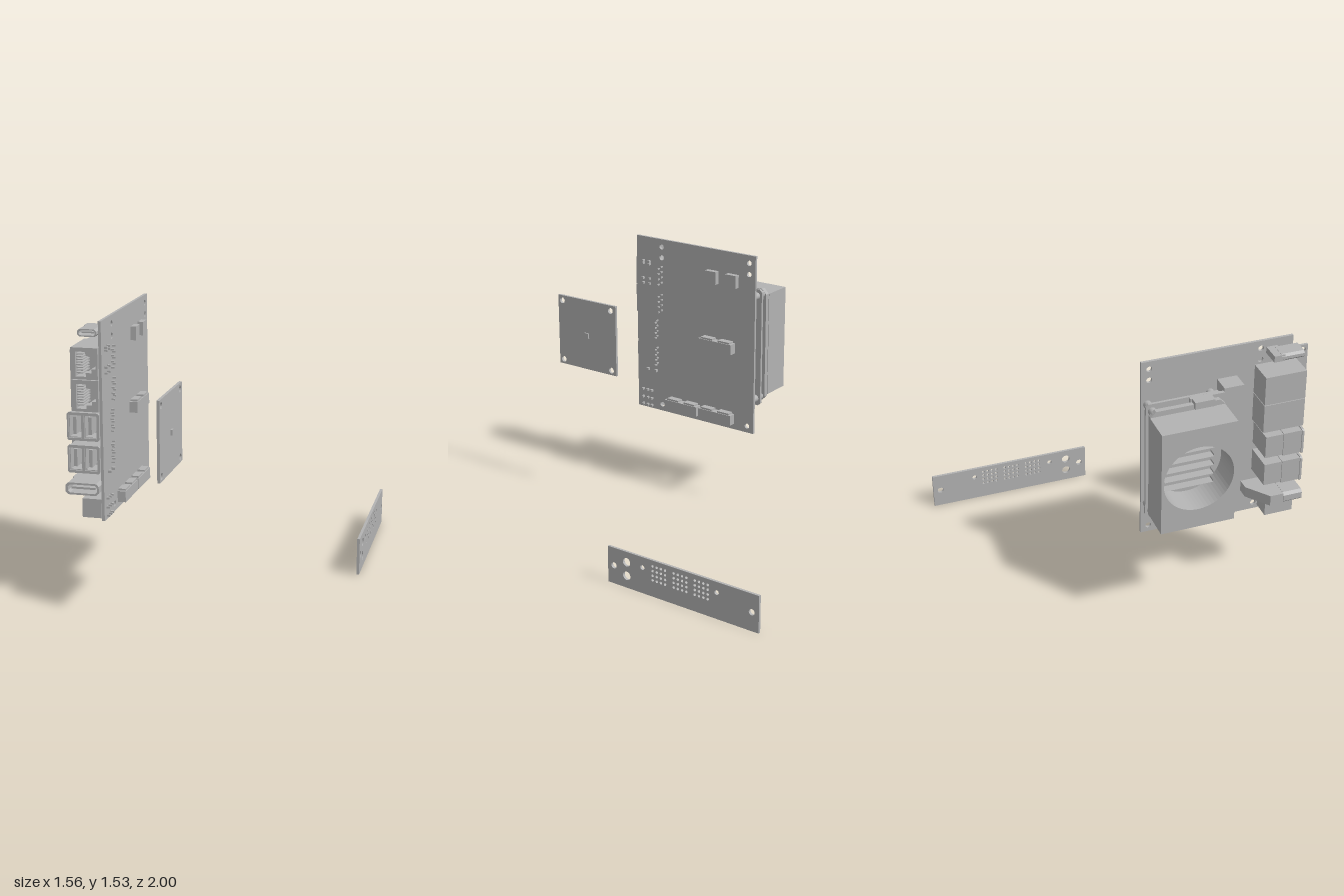
import * as THREE from 'three';

const grey = new THREE.MeshStandardMaterial({ color: 0xb3b3b3 });
grey.name = 'plain grey';

export function createModel() {
  const model = new THREE.Group();

  const add = (name, geometry, parent = model) => {
    const mesh = new THREE.Mesh(geometry, grey);
    mesh.name = name;
    parent.add(mesh);
    return mesh;
  };
  const group = (name) => {
    const g = new THREE.Group();
    g.name = name;
    model.add(g);
    return g;
  };
  // Box given by its limits on each axis
  const box = (name, x0, x1, y0, y1, z0, z1, parent) =>
    add(name, new THREE.BoxGeometry(x1 - x0, y1 - y0, z1 - z0)
      .translate((x0 + x1) / 2, (y0 + y1) / 2, (z0 + z1) / 2), parent);
  const poly = (pts, Type = THREE.Shape) => new Type(pts.map(p => new THREE.Vector2(...p)));
  const rect = (a0, a1, b0, b1, Type) => poly([[a0, b0], [a1, b0], [a1, b1], [a0, b1]], Type);
  // Rectangle with cut corners
  const cut = (a0, a1, b0, b1, c, Type) => poly([[a0 + c, b0], [a1 - c, b0], [a1, b0 + c], [a1, b1 - c],
    [a1 - c, b1], [a0 + c, b1], [a0, b1 - c], [a0, b0 + c]], Type);
  const hole = (a, b, r) => new THREE.Path().absarc(a, b, r, 0, Math.PI * 2, true);
  const extrude = (shape, depth, curveSegments = 8) =>
    new THREE.ExtrudeGeometry(shape, { depth, bevelEnabled: false, curveSegments });
  // Plate whose outline lies in z and y, filling x0 to x1
  const plateX = (name, shape, x0, x1, parent, seg) =>
    add(name, extrude(shape, x1 - x0, seg).rotateY(-Math.PI / 2).translate(x1, 0, 0), parent);
  // Shell whose outline lies in x and y, filling z0 to z1
  const shellZ = (name, shape, z0, z1, parent) =>
    add(name, extrude(shape, z1 - z0).translate(0, 0, z0), parent);
  const withHoles = (shape, holes) => { shape.holes.push(...holes); return shape; };

  // Main circuit board with mounting holes
  const mainHoles = [];
  for (const z of [0.53, -0.085])
    for (const y of [0.505, 1.42, 1.485]) mainHoles.push(hole(z, y, 0.016));
  plateX('mainBoard', withHoles(rect(-0.128, 0.711, 0.465, 1.53), mainHoles), -0.481, -0.466);

  // Small square board with its sensor
  const small = group('sensorBoard');
  const smallHoles = [];
  for (const z of [0.61, 0.97])
    for (const y of [0.814, 1.177]) smallHoles.push(hole(z, y, 0.018));
  plateX('sensorPlate', withHoles(rect(0.573, 1, 0.786, 1.208), smallHoles), -0.095, -0.08, small);
  box('sensorChip', -0.08, -0.07, 0.98, 1.01, 0.772, 0.802, small);

  // Perforated front strip
  const stripHoles = [[-0.08, 0.107, 0.018], [-0.165, 0.15, 0.025], [-0.165, 0.07, 0.025],
    [-0.27, 0.15, 0.014], [-0.743, 0.15, 0.014], [-0.957, 0.107, 0.018]].map(h => hole(...h));
  for (const start of [-0.337, -0.473, -0.607])
    for (let i = 0; i < 4; i++)
      for (let j = 0; j < 4; j++)
        stripHoles.push(hole(start - i * 0.027, 0.096 + j * 0.027, 0.008));
  plateX('perforatedStrip', withHoles(rect(-1, -0.04, 0, 0.21), stripHoles), 0.762, 0.777);

  // Fan housing with round bore and cooling fins at its base
  const cooler = group('cooler');
  plateX('fanHousing', withHoles(rect(-0.128, 0.282, 0.67, 1.28), [hole(0.077, 0.975, 0.193)]),
    -0.785, -0.612, cooler, 32);
  plateX('coolerBase', cut(-0.125, 0.285, 0.63, 1.31, 0.03), -0.612, -0.585, cooler);
  for (let i = 0; i < 6; i++) {
    const y = 0.84 + i * 0.054;
    box('coolingFin', -0.612, -0.58 - 0.08, y, y + 0.012, -0.06, 0.21, cooler).visible = true;
  }
  // Processor module, spacers and plug beneath the cooler
  plateX('moduleBoard', cut(-0.128, 0.285, 0.62, 1.32, 0.015), -0.55, -0.535, cooler);
  for (const y of [0.66, 1.28])
    for (const z of [-0.095, 0.25])
      add('spacer', new THREE.CylinderGeometry(0.022, 0.022, 0.12, 12).rotateZ(Math.PI / 2)
        .translate(-0.541, y, z), cooler);
  box('processor', -0.59, -0.545, 0.8, 1.14, -0.06, 0.22, cooler);
  box('modulePlug', -0.535, -0.481, 0.7, 1.25, 0.21, 0.25, cooler);
  box('lowBlock', -0.5, -0.481, 0.75, 1.2, 0, 0.16, cooler);

  // Clip above the cooler
  const clip = group('clip');
  box('clipFoot', -0.58, -0.481, 1.29, 1.35, 0.29, 0.4, clip);
  box('clipArm', -0.585, -0.565, 1.29, 1.33, 0.1, 0.29, clip);
  box('clipTab', -0.63, -0.585, 1.29, 1.33, 0.11, 0.22, clip);

  // Slim round-ended port
  const slim = group('slimPort');
  shellZ('slimShell', withHoles(cut(-0.588, -0.485, 1.45, 1.49, 0.012),
    [cut(-0.58, -0.493, 1.457, 1.483, 0.008, THREE.Path)]), 0.6, 0.728, slim);
  box('slimBack', -0.586, -0.481, 1.452, 1.488, 0.56, 0.62, slim);
  box('slimTongue', -0.57, -0.503, 1.466, 1.474, 0.62, 0.71, slim);

  // Two network sockets with stepped openings and contacts
  for (const y of [1.057, 1.227]) {
    const net = group('networkSocket');
    const h = 0.166, m = y + 0.08;
    const opening = poly([[-0.6, m - 0.065], [-0.545, m - 0.065], [-0.545, m - 0.045], [-0.515, m - 0.045],
      [-0.515, m - 0.025], [-0.493, m - 0.025], [-0.493, m + 0.025], [-0.515, m + 0.025],
      [-0.515, m + 0.045], [-0.545, m + 0.045], [-0.545, m + 0.065], [-0.6, m + 0.065]], THREE.Path);
    shellZ('networkShell', withHoles(rect(-0.625, -0.481, y, y + h), [opening]), 0.6, 0.73, net);
    box('networkBody', -0.625, -0.481, y, y + h, 0.5, 0.6, net);
    for (let i = 0; i < 8; i++) {
      const c = m - 0.049 + i * 0.014;
      box('contact', -0.6, -0.565, c - 0.003, c + 0.003, 0.6, 0.715, net);
    }
  }

  // Two blocks of paired data ports
  for (const y of [0.73, 0.905]) {
    const data = group('dataPorts');
    const h = 0.138, slots = [[-0.643, -0.582], [-0.56, -0.499]];
    const cutouts = (inset) => slots.map(([a, b]) =>
      rect(a - inset, b + inset, y + 0.012 - inset, y + h - 0.012 + inset, THREE.Path));
    box('dataBody', -0.645, -0.481, y + 0.004, y + h - 0.004, 0.51, 0.61, data);
    shellZ('dataShell', withHoles(rect(-0.65, -0.485, y, y + h), cutouts(0)), 0.61, 0.715, data);
    shellZ('dataRim', withHoles(cut(-0.656, -0.482, y - 0.006, y + h + 0.006, 0.008), cutouts(0.004)),
      0.713, 0.725, data);
    for (const [a] of slots) box('dataTongue', a + 0.012, a + 0.03, y + 0.022, y + h - 0.022, 0.61, 0.7, data);
  }

  // Wide video port with a sloped rear
  const video = group('videoPort');
  add('videoBody', extrude(poly([[-0.481, 0.45], [-0.545, 0.45], [-0.668, 0.545], [-0.668, 0.62], [-0.481, 0.62]]),
    0.062).rotateX(Math.PI / 2).translate(0, 0.668, 0), video);
  shellZ('videoShell', withHoles(cut(-0.672, -0.49, 0.605, 0.67, 0.015),
    [cut(-0.66, -0.5, 0.615, 0.66, 0.012, THREE.Path)]), 0.62, 0.728, video);
  box('videoTongue', -0.645, -0.515, 0.632, 0.643, 0.62, 0.71, video);

  // Power socket
  box('powerSocket', -0.585, -0.481, 0.482, 0.585, 0.555, 0.718);

  // Parts on the outer face: two chips and three edge headers
  for (const z of [-0.015, 0.125]) box('chip', -0.466, -0.435, 1.33, 1.405, z, z + 0.073);
  for (const [y, z] of [[0.935, 0.005], [0.5, 0.005], [0.5, 0.25]]) {
    const head = group('header');
    box('headerBody', -0.466, -0.421, y, y + 0.06, z, z + 0.23, head);
    for (const s of [0, 0.12]) box('headerLip', -0.466, -0.426, y + 0.06, y + 0.07, z + s + 0.015, z + s + 0.095, head);
  }

  // Solder pins poking through the board
  const pins = group('solderPins');
  const pin = (y, z, s = 0.006) => box('pin', -0.466, -0.448, y - s, y + s, z - s, z + s, pins);
  for (const y of [1.085, 1.255])
    for (let i = 0; i < 8; i++) pin(y + i * 0.016, i % 2 ? 0.525 : 0.548, 0.004);
  for (const y of [0.75, 0.92])
    for (let i = 0; i < 8; i++) pin(y + i * 0.016, i % 2 ? 0.56 : 0.572, 0.004);
  for (const y of [1.25, 1.28, 1.37, 1.385]) for (const z of [0.615, 0.66]) pin(y, z);
  for (const y of [0.485, 0.53, 0.58]) for (const z of [0.605, 0.635, 0.67]) pin(y, z);
  for (const z of [0.57, 0.63]) pin(0.715, z, 0.007);

  return model;
}
